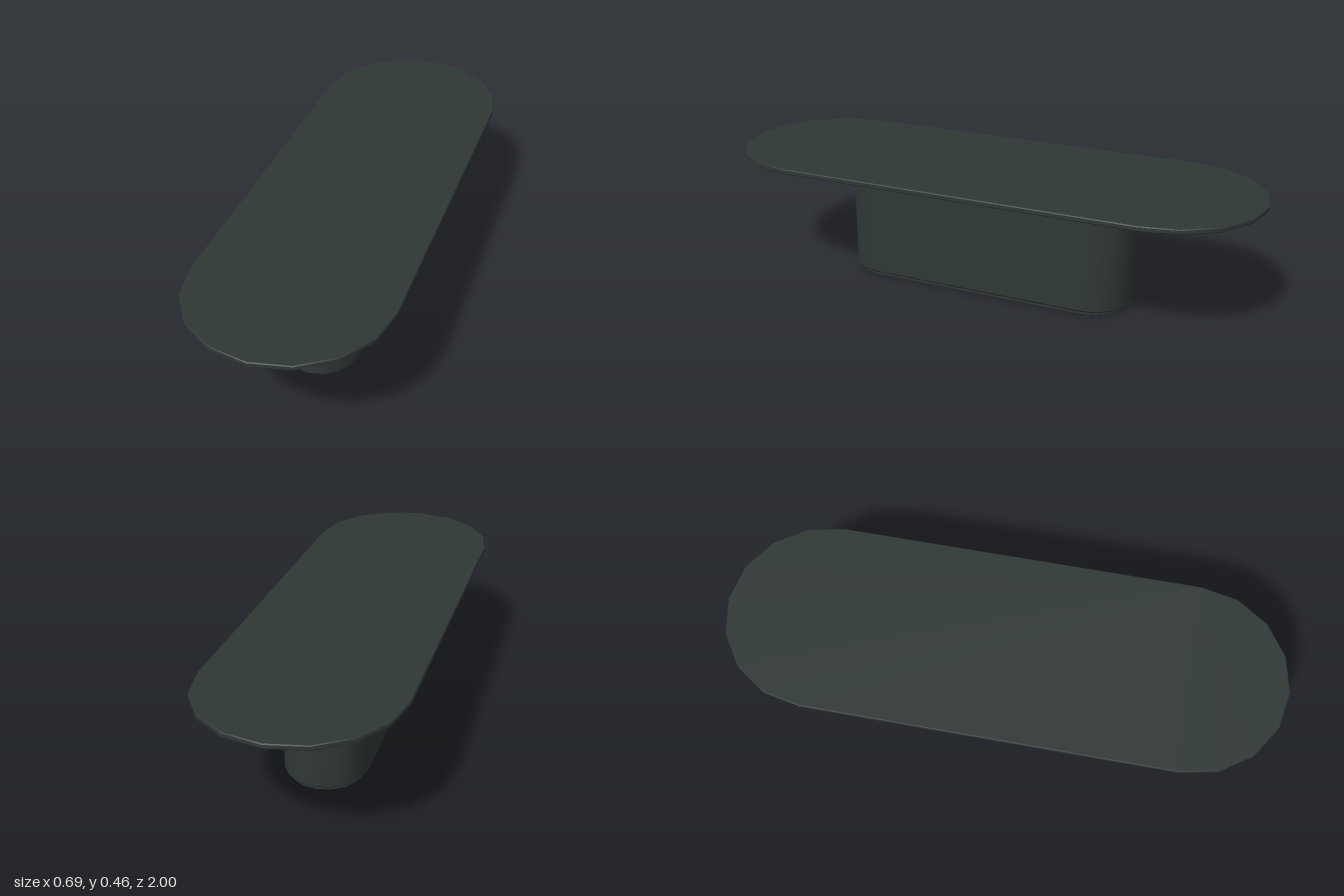
import * as THREE from 'three';
import { toCreasedNormals } from 'three/addons/utils/BufferGeometryUtils.js';

const STEPS = 8; // facets per rounded end

// Capsule-shaped slab: profile lists [radius, y] upwards, half is the straight half-length
function capsuleLoft(half, profile) {
  const pos = [], idx = [], n = 2 * (STEPS + 1);
  for (const [r, y] of profile) {
    for (const end of [1, -1]) {
      for (let i = 0; i <= STEPS; i++) {
        const a = (i / STEPS) * Math.PI;
        pos.push(end * r * Math.cos(a), y, end * (half + r * Math.sin(a)));
      }
    }
  }
  // walls
  for (let j = 0; j < profile.length - 1; j++) {
    for (let i = 0; i < n; i++) {
      const a = j * n + i, b = j * n + (i + 1) % n;
      idx.push(a, a + n, b, b, a + n, b + n);
    }
  }
  // bottom and top caps
  const top = (profile.length - 1) * n;
  for (let i = 1; i < n - 1; i++) {
    idx.push(0, i, i + 1, top, top + i + 1, top + i);
  }
  const geo = new THREE.BufferGeometry();
  geo.setAttribute('position', new THREE.Float32BufferAttribute(pos, 3));
  geo.setIndex(idx);
  return toCreasedNormals(geo, 0.6);
}

// Profile with small chamfers on the lower and upper edges
const chamfered = (r, y0, y1, low, high) =>
  [[r - low, y0], [r, y0 + low], [r, y1 - high], [r - high, y1]];

export function createModel() {
  const group = new THREE.Group();
  const darkGreen = new THREE.MeshStandardMaterial({ color: 0x2f3836 });
  darkGreen.name = 'darkGreenGrey';

  const parts = [
    ['plinth', 0.408, chamfered(0.133, 0, 0.016, 0.002, 0.001)],
    ['pedestal', 0.408, chamfered(0.147, 0.014, 0.431, 0.007, 0.001)],
    ['underTop', 0.655, chamfered(0.322, 0.429, 0.44, 0.002, 0.001)],
    ['tableTop', 0.655, chamfered(0.345, 0.438, 0.456, 0.003, 0.003)],
  ];
  for (const [name, half, profile] of parts) {
    const mesh = new THREE.Mesh(capsuleLoft(half, profile), darkGreen);
    mesh.name = name;
    group.add(mesh);
  }
  return group;
}
